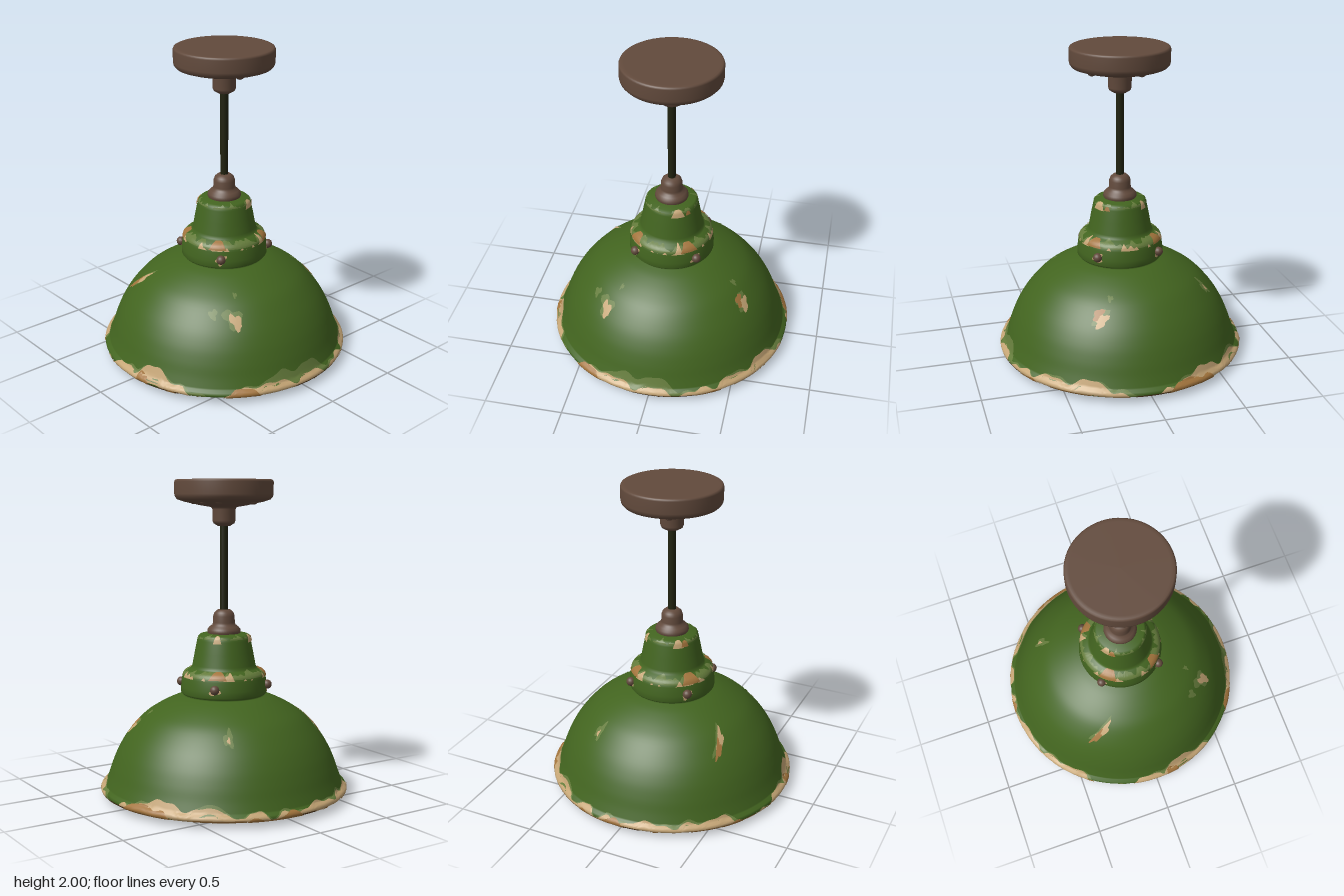
import * as THREE from 'three';

const mat = (name, color) => {
  const m = new THREE.MeshStandardMaterial({ color });
  m.name = name;
  return m;
};
const V = (x, y) => new THREE.Vector2(x, y);

export function createModel() {
  const green = mat('green enamel', 0x42641f);
  const olive = mat('worn green enamel', 0x647b3b);
  const cream = mat('cream primer', 0xc4a474);
  const rust = mat('rust', 0xa2743c);
  const brown = mat('brown metal', 0x624a3c);
  const cord = mat('dark cord', 0x20220f);
  const darkRust = mat('dark rust', 0x5c4020);

  const model = new THREE.Group();
  model.name = 'pendantLamp';
  const add = (name, geo, material, parent = model) => {
    const mesh = new THREE.Mesh(geo, material);
    mesh.name = name;
    parent.add(mesh);
    return mesh;
  };
  const lathe = (name, pts, material, seg = 48, start = 0, length = Math.PI * 2) =>
    add(name, new THREE.LatheGeometry(pts.map(p => V(p[0], p[1])), seg, start, length), material);

  // Outer profile: rolled lip, dome, collar and neck, always rising in y
  const dome = new THREE.SplineCurve([
    V(0.762, 0.078), V(0.738, 0.14), V(0.71, 0.22), V(0.67, 0.31), V(0.61, 0.405),
    V(0.52, 0.505), V(0.43, 0.568), V(0.33, 0.618), V(0.25, 0.645),
  ]).getPoints(36).map(p => [p.x, p.y]);
  const outer = [
    [0.77, 0.038], [0.784, 0.043], [0.788, 0.055], [0.782, 0.068], ...dome,
    [0.264, 0.65], [0.274, 0.662], [0.274, 0.7], [0.266, 0.76], [0.258, 0.785], [0.243, 0.801],
    [0.215, 0.813], [0.205, 0.822], [0.2, 0.84], [0.185, 0.92], [0.17, 0.995], [0.164, 1.018],
    [0.15, 1.03], [0.09, 1.038],
  ];
  const radius = y => {
    let i = 1;
    while (i < outer.length - 1 && outer[i][1] < y) i++;
    const [r0, y0] = outer[i - 1], [r1, y1] = outer[i];
    return r0 + (r1 - r0) * THREE.MathUtils.clamp((y - y0) / (y1 - y0), 0, 1);
  };
  // Point just above the painted surface, at an angle a from the front
  const onShade = (a, y, lift) => {
    const e = 0.006, slope = (radius(y + e) - radius(y - e)) / (2 * e);
    const k = lift / Math.hypot(1, slope), r = radius(y) + k;
    return [r * Math.sin(a), y - slope * k, r * Math.cos(a)];
  };

  lathe('shadeOuter', outer, green, 120);
  lathe('shadeInner', [
    [0.02, 0.605], [0.2, 0.602], [0.32, 0.588], [0.42, 0.545], [0.51, 0.482], [0.595, 0.39],
    [0.655, 0.3], [0.695, 0.21], [0.725, 0.13], [0.746, 0.07], [0.75, 0.045], [0.77, 0.038],
  ], cream, 120);

  const surface = (name, pos, index, material) => {
    const g = new THREE.BufferGeometry();
    g.setAttribute('position', new THREE.Float32BufferAttribute(pos, 3));
    g.setIndex(index);
    g.computeVertexNormals();
    return add(name, g, material);
  };

  // Worn band running around the shade between lo and a ragged height hi(a)
  const band = (name, material, lo, hi, lift, rows = 6, n = 360) => {
    const pos = [], index = [], w = rows + 1;
    for (let i = 0; i <= n; i++) {
      const a = (i / n) * Math.PI * 2, top = Math.max(lo, hi(a));
      for (let j = 0; j <= rows; j++) pos.push(...onShade(a, lo + (top - lo) * j / rows, lift));
      if (i === n || (hi(a) <= lo && hi(a + Math.PI * 2 / n) <= lo)) continue;
      for (let j = 0; j < rows; j++) {
        const p = i * w + j;
        index.push(p, p + w, p + w + 1, p, p + w + 1, p + 1);
      }
    }
    surface(name, pos, index, material);
  };
  const ragged = (a, s) => (Math.sin(5 * a + s) + Math.sin(11 * a + 2.3 * s)
    + 0.8 * Math.sin(19 * a + 1.7 * s) + 0.5 * Math.sin(37 * a + s)) / 3.3;
  const peaks = (a, list) => list.reduce((sum, [c, h, w]) => {
    const d = Math.atan2(Math.sin(a - c), Math.cos(a - c));
    return sum + h * Math.exp(-Math.pow(d / w, 4));
  }, 0);

  // Chipped rim
  const chips = [[0.22, 0.09, 0.13], [-0.85, 0.04, 0.2], [1.25, 0.03, 0.2], [0.45, 0.03, 0.1],
    [1.9, 0.03, 0.25], [2.5, 0.04, 0.3], [-2.7, 0.07, 0.2], [-2.2, 0.06, 0.12],
    [-1.9, 0.04, 0.08], [-1.55, 0.03, 0.15]];
  band('rimWorn', olive, 0.04, a => 0.066 + 0.045 * ragged(a, 1) + peaks(a, chips) * 0.9
    + peaks(a, [[1.5, 0.06, 0.25]]), 0.002);
  band('rimPrimer', cream, 0.04, a => 0.057 + 0.05 * ragged(a, 1.3) + peaks(a, chips), 0.004);
  band('rimRust', rust, 0.04, a => 0.032 + 0.04 * ragged(a, 4)
    + peaks(a, [[0.16, 0.09, 0.07], [-2.75, 0.06, 0.16], [-1.6, 0.03, 0.12], [1.0, 0.03, 0.15]]), 0.006);
  // Bare metal along the underside of the lip
  [[0.1, 0.4], [0.9, 0.25], [1.45, 0.5], [2.3, 0.35], [3.0, 0.5], [3.9, 0.4], [4.6, 0.3], [5.3, 0.6]]
    .forEach(([start, length], i) => lathe('lipRust', [[0.744, 0.066], [0.747, 0.045],
      [0.77, 0.034], [0.787, 0.041], [0.791, 0.05]], i % 2 ? rust : darkRust, 16, start, length));

  // Worn collar shoulder and neck top
  band('shoulderWorn', olive, 0.775, a => 0.805 + 0.022 * ragged(a, 2), 0.002);
  band('shoulderPrimer', cream, 0.765, a => 0.762 + 0.06 * ragged(a, 5), 0.004);
  band('shoulderRust', rust, 0.77, a => 0.755
    + peaks(a, [[-0.65, 0.07, 0.22], [0.7, 0.06, 0.2], [2.2, 0.06, 0.2], [-2.3, 0.06, 0.2]]), 0.006);
  band('neckWorn', olive, 1.008, a => 1.018 + 0.02 * ragged(a, 3), 0.002);
  band('neckPrimer', cream, 0.985, a => 0.965
    + peaks(a, [[-0.9, 0.065, 0.2], [2.0, 0.065, 0.25], [-2.4, 0.065, 0.15]]), 0.004);
  band('neckRust', rust, 0.99, a => 0.965 + peaks(a, [[-0.65, 0.06, 0.15], [2.4, 0.05, 0.12]]), 0.006);

  // Ragged paint chip: half width w, half height h in y, leaning sideways by lean
  const chip = (name, material, a, y, w, h, lean, lift) => {
    const sides = 20, rings = 4, pos = [...onShade(a, y, lift)], index = [];
    for (let k = 1; k <= rings; k++) for (let i = 0; i < sides; i++) {
      const t = (i / sides) * Math.PI * 2;
      const s = (k / rings) * (0.85 + 0.22 * Math.sin(3 * t + a * 7) + 0.14 * Math.sin(5 * t + y * 40));
      const v = Math.sin(t) * s, u = Math.cos(t) * s * w + v * lean;
      pos.push(...onShade(a + u / radius(y), y + v * h, lift));
      const p = 1 + (k - 1) * sides + i, q = 1 + (k - 1) * sides + (i + 1) % sides;
      if (k === 1) index.push(0, p, q);
      else index.push(p - sides, p, q, p - sides, q, q - sides);
    }
    surface(name, pos, index, material);
  };
  const domeChips = [
    [olive, -0.57, 0.485, 0.035, 0.07, 0.05, 0.002], [cream, -0.54, 0.495, 0.028, 0.05, 0.035, 0.004],
    [rust, -0.61, 0.45, 0.024, 0.05, 0.03, 0.006],
    [olive, 0.95, 0.455, 0.065, 0.055, -0.02, 0.002], [cream, 0.98, 0.44, 0.04, 0.045, -0.02, 0.004],
    [olive, 0.735, 0.475, 0.03, 0.028, 0, 0.002],
    [olive, 2.66, 0.46, 0.045, 0.05, 0.03, 0.002], [cream, 2.68, 0.44, 0.045, 0.04, 0.01, 0.004],
    [rust, 2.64, 0.468, 0.03, 0.035, 0.02, 0.006],
    [olive, -2.1, 0.475, 0.034, 0.05, 0, 0.002], [cream, -2.1, 0.465, 0.012, 0.018, 0, 0.004],
    [olive, 2.75, 0.54, 0.02, 0.015, 0, 0.002], [olive, 1.0, 0.555, 0.015, 0.012, 0, 0.002],
  ];
  domeChips.forEach(([m, ...rest]) => chip('paintChip', m, ...rest));

  // Four collar screws in chipped paint
  for (let i = 0; i < 4; i++) {
    const a = Math.PI / 4 + i * Math.PI / 2;
    chip('screwChip', cream, a, 0.708, 0.036, 0.034, 0.01, 0.004);
    const screw = add('collarScrew', new THREE.SphereGeometry(0.029, 16, 12), brown);
    screw.position.set(0.28 * Math.sin(a), 0.715, 0.28 * Math.cos(a));
  }

  // Cap, cord and ceiling canopy
  lathe('neckCap', [[0.1, 1.03], [0.106, 1.045], [0.104, 1.062], [0.09, 1.078], [0.073, 1.09],
    [0.069, 1.105], [0.068, 1.145], [0.06, 1.168], [0.042, 1.184], [0, 1.19]], brown);
  add('cord', new THREE.CylinderGeometry(0.025, 0.025, 0.56, 20), cord).position.y = 1.45;
  lathe('canopy', [[0, 1.71], [0.04, 1.712], [0.066, 1.728], [0.072, 1.745], [0.073, 1.815],
    [0.08, 1.828], [0.15, 1.84], [0.25, 1.862], [0.292, 1.876], [0.306, 1.892], [0.31, 1.91],
    [0.31, 1.985], [0.306, 1.995], [0.298, 1.999], [0.28, 2], [0, 2]], brown, 64);
  [[-0.21, 0.08], [0.21, 0.06], [-0.16, -0.14], [-0.08, -0.2], [0.2, -0.1]].forEach(([x, z]) => {
    const bump = add('canopyScrew', new THREE.SphereGeometry(0.026, 14, 10), brown);
    bump.position.set(x, 1.866, z);
    bump.scale.y = 0.8;
  });

  // Socket and bulb
  lathe('socket', [[0.07, 0.345], [0.082, 0.36], [0.082, 0.45], [0.1, 0.47], [0.1, 0.61]], brown);
  lathe('bulb', [...Array.from({ length: 25 }, (_, i) => {
    const t = (i / 24) * 2.72;
    return [0.19 * Math.sin(t), 0.19 - 0.19 * Math.cos(t)];
  }), [0.072, 0.385]], cream);

  return model;
}
